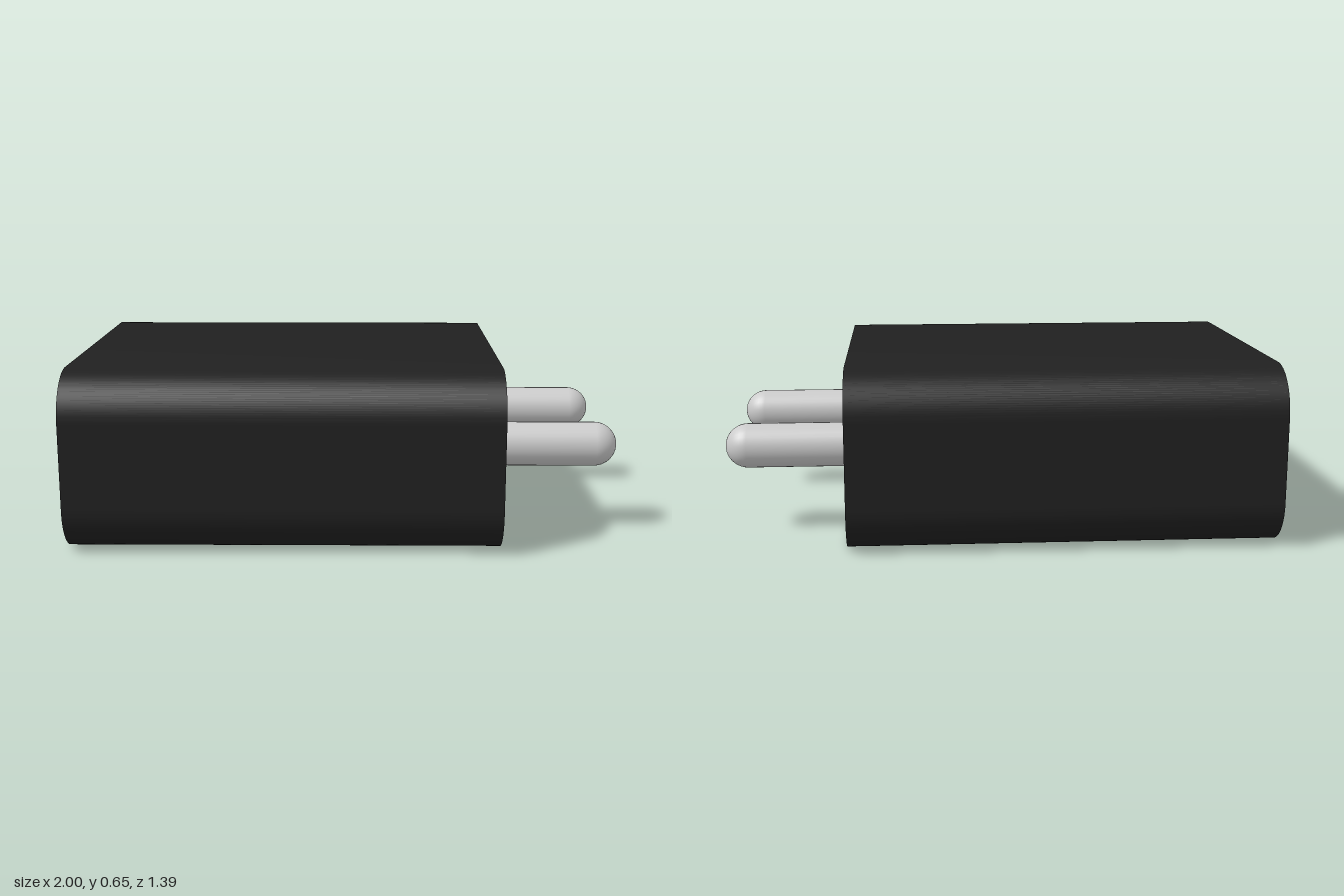
import * as THREE from 'three';
import { toCreasedNormals } from 'three/addons/utils/BufferGeometryUtils.js';

const BACK = -1, FRONT = 0.55, MID_Y = 0.325, ARC = 16;

// Rounded rectangle, counter-clockwise, built from its four corner arcs
function roundedRect(halfW, halfH, r) {
  const shape = new THREE.Shape();
  const corners = [[1, 1], [-1, 1], [-1, -1], [1, -1]];
  corners.forEach(([sx, sy], i) => {
    const start = i * Math.PI / 2;
    shape.absarc(sx * (halfW - r), sy * (halfH - r), r, start, start + Math.PI / 2, false);
  });
  return shape;
}

// Open wall along a closed outline; counter-clockwise outlines face outward
function wall(points, z0, z1) {
  const positions = [], index = [], n = points.length;
  points.forEach((p, i) => {
    positions.push(p.x, p.y, z0, p.x, p.y, z1);
    const a = 2 * i, b = 2 * ((i + 1) % n);
    index.push(a, b, b + 1, a, b + 1, a + 1);
  });
  const geometry = new THREE.BufferGeometry();
  geometry.setAttribute('position', new THREE.Float32BufferAttribute(positions, 3));
  geometry.setIndex(index);
  return toCreasedNormals(geometry, 0.6);
}

export function createModel() {
  const model = new THREE.Group();
  model.name = 'chargerPlug';
  const plastic = new THREE.MeshStandardMaterial({ color: 0x202020 });
  const metal = new THREE.MeshStandardMaterial({ color: 0xcccccc });

  const add = (parent, name, geometry, material) => {
    const mesh = new THREE.Mesh(geometry, material);
    mesh.name = name;
    parent.add(mesh);
    return mesh;
  };

  // Housing, drawn along local z and turned so that it runs along x
  const housing = new THREE.Group();
  housing.name = 'housing';
  housing.rotation.y = Math.PI / 2;
  housing.position.y = MID_Y;
  model.add(housing);

  const outline = roundedRect(0.695, 0.325, 0.17);
  add(housing, 'housingShell', wall(outline.getPoints(ARC), BACK, FRONT), plastic);
  add(housing, 'pinFace', new THREE.ShapeGeometry(outline, ARC).translate(0, 0, FRONT), plastic);

  // Recessed socket in the end opposite the pins
  const w = 0.19, h = 0.08, depth = 0.16;
  const slot = [[-w, -h], [-w, h], [w, h], [w, -h]].map(([x, y]) => new THREE.Vector2(x, y));
  const socketOutline = outline.clone();
  socketOutline.holes.push(new THREE.Path(slot));
  add(housing, 'socketFace',
    new THREE.ShapeGeometry(socketOutline, ARC).rotateY(Math.PI).translate(0, 0, BACK), plastic);
  add(housing, 'socketWalls', wall(slot, BACK, BACK + depth), plastic);
  add(housing, 'socketFloor',
    new THREE.PlaneGeometry(2 * w, 2 * h).rotateY(Math.PI).translate(0, 0, BACK + depth), plastic);

  // Two round pins with domed tips
  const r = 0.082, length = 1 - FRONT;
  const profile = [new THREE.Vector2(r, 0)];
  for (let i = 0; i <= 10; i++) {
    const a = i / 10 * Math.PI / 2;
    profile.push(new THREE.Vector2(i === 10 ? 0 : r * Math.cos(a), length - r + r * Math.sin(a)));
  }
  const pinGeometry = new THREE.LatheGeometry(profile, 32).rotateZ(-Math.PI / 2);
  for (const [name, z] of [['frontPin', 0.323], ['backPin', -0.323]]) {
    add(model, name, pinGeometry, metal).position.set(FRONT, MID_Y, z);
  }

  return model;
}
